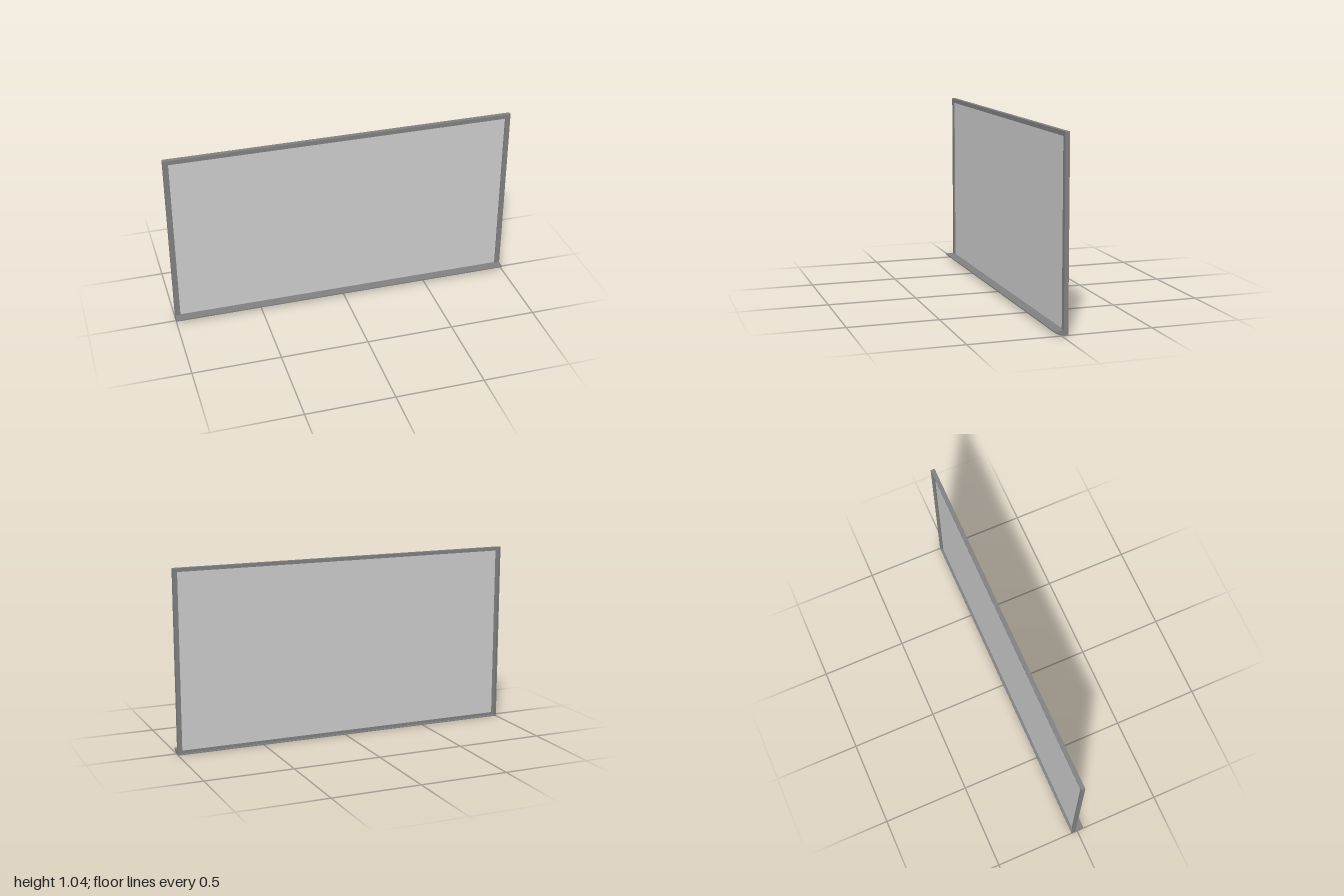
import * as THREE from 'three';

const W = 1, H = 1.037;            // half width and height
const BACK = -0.036, FRONT = -0.012; // depth of the frame

function rect(Type, x, y0, y1) {
  const s = new Type();
  s.moveTo(-x, y0);
  s.lineTo(x, y0);
  s.lineTo(x, y1);
  s.lineTo(-x, y1);
  s.closePath();
  return s;
}

// Rectangular ring with the given border widths, between two depths
function ring(side, bottom, top, z0, z1) {
  const shape = rect(THREE.Shape, W, 0, H);
  shape.holes.push(rect(THREE.Path, W - side, bottom, H - top));
  const geo = new THREE.ExtrudeGeometry(shape, { depth: z1 - z0, bevelEnabled: false });
  return geo.translate(0, 0, z0);
}

export function createModel() {
  const model = new THREE.Group();
  const frameMat = new THREE.MeshStandardMaterial({ color: 0x808080 });
  const panelMat = new THREE.MeshStandardMaterial({ color: 0xcccccc });
  const add = (name, geo, mat) => {
    const mesh = new THREE.Mesh(geo, mat);
    mesh.name = name;
    model.add(mesh);
  };

  // L-section frame: wide front flange and thin outer wall behind it
  const flangeBack = -0.023;
  add('frameFlange', ring(0.03, 0.026, 0.025, flangeBack, FRONT), frameMat);
  add('frameOuterWall', ring(0.005, 0.005, 0.005, BACK, flangeBack), frameMat);

  // Writing surface held behind the flange
  const panel = new THREE.BoxGeometry(2 * W - 0.054, H - 0.045, 0.005);
  panel.translate(0, H / 2, flangeBack + 0.0015);
  add('boardPanel', panel, panelMat);

  // Pen tray: flat top, short lip and curved underside, swept across the width
  const profile = new THREE.Shape();
  profile.moveTo(FRONT, 0.026);
  profile.lineTo(FRONT, 0.001);
  profile.quadraticCurveTo(0.017, 0.004, 0.038, 0.02);
  profile.lineTo(0.038, 0.026);
  profile.closePath();
  const tray = new THREE.ExtrudeGeometry(profile, { depth: 2 * W, bevelEnabled: false, curveSegments: 6 });
  tray.rotateY(-Math.PI / 2).translate(W, 0, 0);
  add('penTray', tray, frameMat);

  return model;
}
